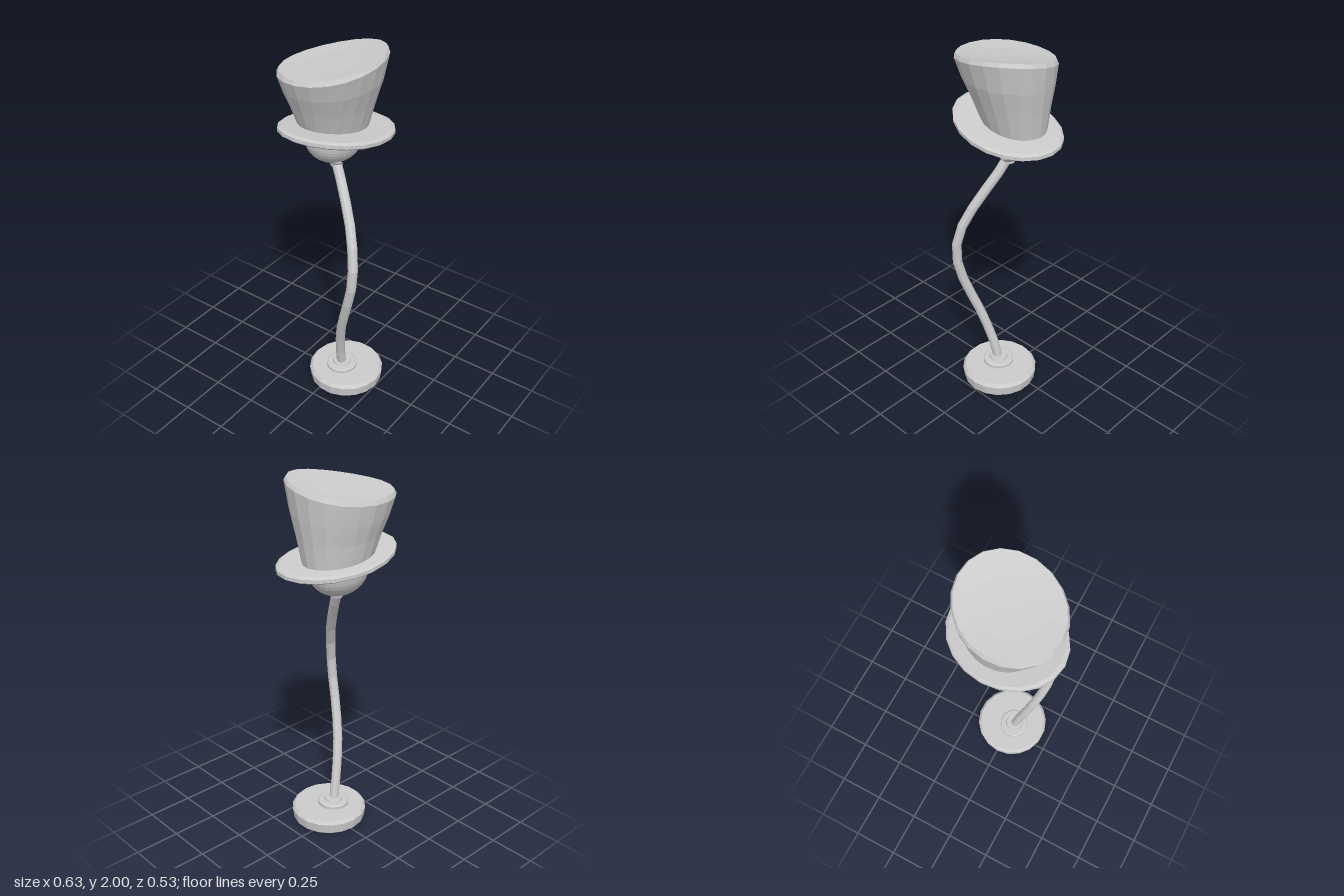
import * as THREE from 'three';

const material = new THREE.MeshStandardMaterial({ color: 0xcccccc, flatShading: true });

function addMesh(group, name, geometry, x = 0, y = 0, z = 0) {
  const mesh = new THREE.Mesh(geometry, material);
  mesh.name = name;
  mesh.position.set(x, y, z);
  group.add(mesh);
  return mesh;
}

// Turned part from [radius, height] pairs, listed bottom to top
function turned(profile, sides) {
  return new THREE.LatheGeometry(profile.map(([r, y]) => new THREE.Vector2(r, y)), sides);
}

// Skin over elliptical rings [cx, cz, rx, rz, height(x, z)], running down the outside
function loft(rings, sides) {
  const positions = [];
  const index = [];
  rings.forEach(([cx, cz, rx, rz, height], i) => {
    for (let j = 0; j < sides; j++) {
      const t = (j / sides) * Math.PI * 2;
      const x = cx + rx * Math.cos(t);
      const z = cz + rz * Math.sin(t) + 0.08 * rx * Math.cos(t);
      positions.push(x, height(x, z), z);
      if (i === 0) continue;
      const k = (j + 1) % sides;
      const a = (i - 1) * sides + j, a2 = (i - 1) * sides + k;
      const b = i * sides + j, b2 = i * sides + k;
      if (rings[i - 1][2] > 0) index.push(a, a2, b2);
      if (rx > 0) index.push(a, b2, b);
    }
  });
  const geometry = new THREE.BufferGeometry();
  geometry.setAttribute('position', new THREE.Float32BufferAttribute(positions, 3));
  geometry.setIndex(index);
  geometry.computeVertexNormals();
  return geometry;
}

// Curved heights of the slanted hat
const crownTop = (drop) => (x, z) => 1.955 + 0.08 * x + 0.15 * z + 0.3 * x * z - drop;
const brim = (offset) => (x, z) => 1.575 - 0.16 * x + 0.2 * x * x + 0.1 * z * z + offset;
const between = (f) => (x, z) => brim(0.03)(x, z) * (1 - f) + crownTop(0.02)(x, z) * f;

export function createModel() {
  const group = new THREE.Group();

  // Round foot and stepped collar
  addMesh(group, 'base', turned([
    [0, 0.005], [0.185, 0.005], [0.203, 0.02], [0.21, 0.075], [0.195, 0.092], [0, 0.092],
  ], 18), -0.003, 0, 0.055);
  addMesh(group, 'collar', turned([
    [0.086, 0.085], [0.086, 0.108], [0.078, 0.114], [0.052, 0.114], [0.048, 0.126], [0, 0.126],
  ], 20), -0.025, 0, 0.04);

  // Bent stem
  const path = new THREE.CatmullRomCurve3([
    [-0.028, 0.11, 0.04], [-0.06, 0.25, 0.055], [-0.115, 0.45, 0.1], [-0.16, 0.66, 0.17],
    [-0.17, 0.83, 0.208], [-0.155, 0.97, 0.2], [-0.11, 1.11, 0.152], [-0.055, 1.25, 0.075],
    [-0.005, 1.38, -0.005], [0.003, 1.42, -0.025],
  ].map((p) => new THREE.Vector3(...p)));
  addMesh(group, 'stem', new THREE.TubeGeometry(path, 12, 0.026, 10));

  // Socket flaring into the bulb
  addMesh(group, 'socket', turned([
    [0, 1.375], [0.032, 1.378], [0.034, 1.392], [0.046, 1.405], [0.075, 1.425],
  ], 16), 0.001, 0, -0.015);

  // Slightly flattened bulb
  const bulb = addMesh(group, 'bulb', new THREE.SphereGeometry(1, 32, 20), 0.012, 1.54, -0.037);
  bulb.scale.set(0.166, 0.142, 0.143);
  bulb.rotation.z = -0.1;

  // Flared hat shade: crown, curled brim and hollow inside
  addMesh(group, 'hatShade', loft([
    [-0.01, -0.02, 0, 0, crownTop(0.012)],
    [-0.015, -0.02, 0.15, 0.135, crownTop(0.01)],
    [-0.02, -0.018, 0.264, 0.238, crownTop(0)],
    [-0.02, -0.018, 0.275, 0.248, crownTop(0.02)],
    [-0.012, -0.024, 0.252, 0.222, between(0.66)],
    [-0.002, -0.032, 0.222, 0.187, between(0.33)],
    [0.01, -0.04, 0.193, 0.157, brim(0.025)],
    [0.002, -0.015, 0.295, 0.243, brim(0.018)],
    [0, -0.01, 0.314, 0.258, brim(0.008)],
    [0, -0.01, 0.315, 0.258, brim(-0.01)],
    [0, -0.01, 0.295, 0.242, brim(-0.02)],
    [0.01, -0.035, 0.2, 0.165, brim(-0.01)],
    [0.01, -0.04, 0.18, 0.145, brim(0.015)],
    [-0.02, -0.018, 0.255, 0.228, crownTop(0.035)],
    [-0.01, -0.02, 0, 0, crownTop(0.035)],
  ], 20));

  return group;
}
